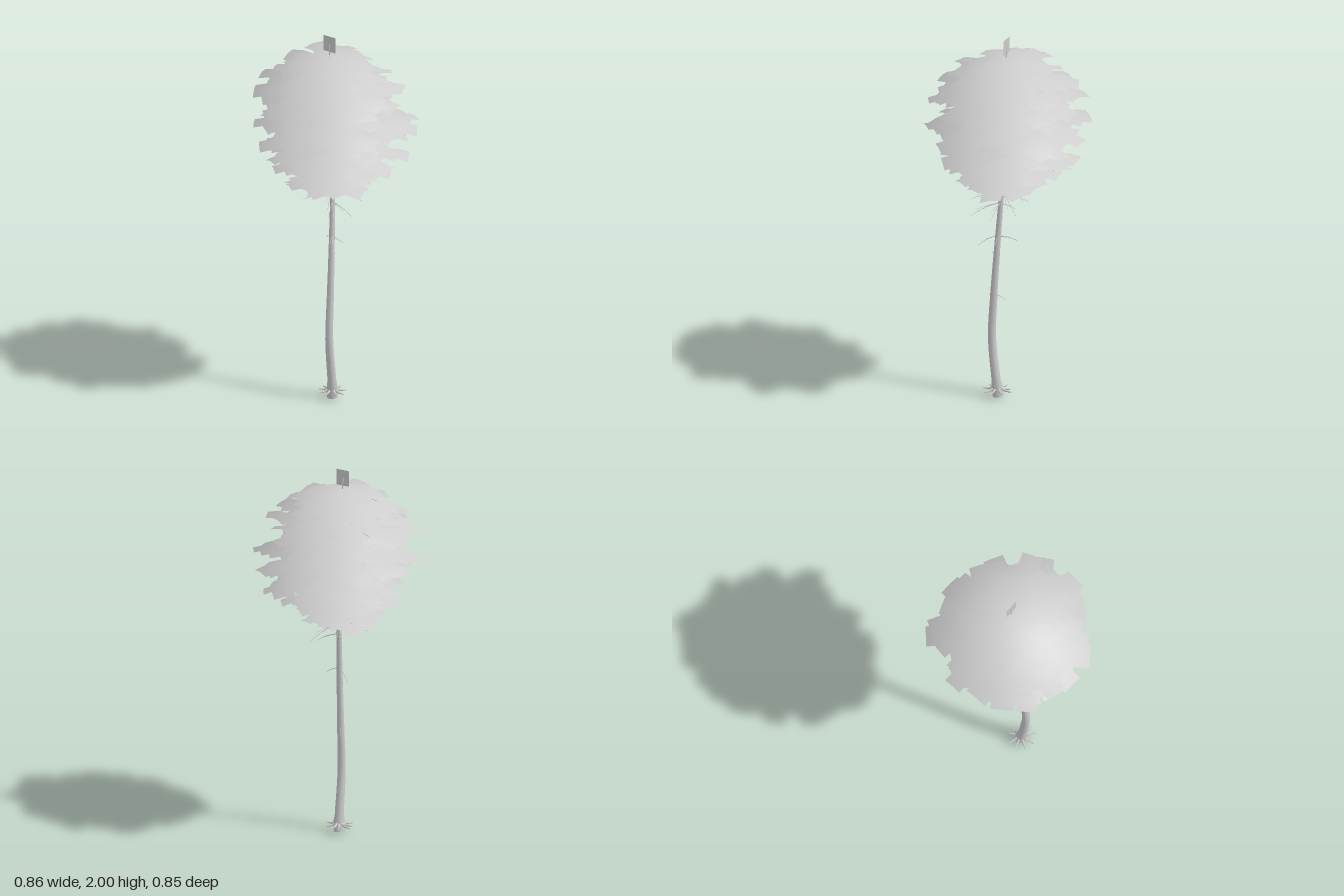
import * as THREE from 'three';
import { mergeGeometries } from 'three/addons/utils/BufferGeometryUtils.js';

const V = (x, y, z) => new THREE.Vector3(x, y, z);

// small seeded random generator
let seed = 7;
const rnd = () => (seed = (seed * 16807) % 2147483647) / 2147483647;
const jitter = (a) => (rnd() * 2 - 1) * a;

// tube along a smooth curve whose radius follows radiusAt(t)
function taperedTube(curve, steps, sides, radiusAt) {
  const geo = new THREE.TubeGeometry(curve, steps, 1, sides, false);
  const pos = geo.attributes.position;
  const v = new THREE.Vector3();
  for (let i = 0; i <= steps; i++) {
    const c = curve.getPointAt(i / steps);
    for (let j = 0; j <= sides; j++) {
      const k = i * (sides + 1) + j;
      v.fromBufferAttribute(pos, k).sub(c).multiplyScalar(radiusAt(i / steps)).add(c);
      pos.setXYZ(k, v.x, v.y, v.z);
    }
  }
  return geo;
}

const trunkPoints = [
  V(-0.033, 0, 0.032), V(-0.04, 0.08, 0.038), V(-0.064, 0.33, 0.042), V(-0.055, 0.55, 0.04),
  V(-0.04, 0.8, 0.034), V(-0.016, 1.2, 0.018), V(-0.008, 1.5, 0.004), V(-0.01, 1.96, -0.012),
];
const trunkCurve = new THREE.CatmullRomCurve3(trunkPoints);
function trunkAt(y) {
  const i = trunkPoints.findIndex((p) => p.y >= y);
  const a = trunkPoints[i - 1], b = trunkPoints[i];
  return a.clone().lerp(b, (y - a.y) / (b.y - a.y));
}

// gently drooping twig from the trunk
function twig(y, angle, length, drop, radius) {
  const p = trunkAt(y);
  const at = (f, d) => V(p.x + Math.cos(angle) * length * f, y - d, p.z + Math.sin(angle) * length * f);
  const curve = new THREE.QuadraticBezierCurve3(at(0, 0), at(0.55, drop * 0.25), at(1, drop));
  return taperedTube(curve, 5, 4, (t) => radius * (1 - 0.75 * t));
}

// foliage tiers: height, then reach to -x, +x, -z, +z
const tiers = [
  [1.20, 0.23, 0.20, 0.19, 0.20], [1.285, 0.31, 0.27, 0.26, 0.30], [1.355, 0.33, 0.37, 0.35, 0.37],
  [1.415, 0.34, 0.31, 0.27, 0.33], [1.47, 0.38, 0.38, 0.34, 0.35], [1.53, 0.38, 0.42, 0.44, 0.44],
  [1.605, 0.37, 0.32, 0.35, 0.32], [1.675, 0.40, 0.39, 0.41, 0.38], [1.745, 0.37, 0.39, 0.37, 0.38],
  [1.81, 0.33, 0.26, 0.30, 0.31], [1.873, 0.23, 0.21, 0.25, 0.21],
];

// one slightly folded square leaf card, lying nearly flat and pointing outwards
function leafCard(x, y, z, angle, size, slope) {
  const geo = new THREE.PlaneGeometry(size, size, 2, 2).rotateX(-Math.PI / 2);
  const pos = geo.attributes.position;
  for (let i = 0; i < pos.count; i++) {
    const u = pos.getX(i) / size, w = pos.getZ(i) / size;
    pos.setY(i, -size * 0.3 * (u * u + w * w) + 0.006);
  }
  return geo.rotateX(jitter(0.22)).rotateZ(slope + jitter(0.14)).rotateY(-angle).translate(x, y, z);
}

function buildTier([y, xn, xp, zn, zp], index) {
  const leaves = [], twigs = [];
  const p = trunkAt(y);
  const count = 9;
  for (let b = 0; b < count; b++) {
    const a = (b / count) * Math.PI * 2 + index * 0.37 + jitter(0.12);
    const c = Math.cos(a), s = Math.sin(a);
    const reach = (c * c * (c < 0 ? xn : xp) + s * s * (s < 0 ? zn : zp)) * (1.0 + jitter(0.08));
    const size = 0.112 + jitter(0.01);
    const last = reach - size * 0.52;
    const rows = Math.max(3, Math.round(last / 0.045));
    const lift = jitter(0.012);
    for (let r = 0; r < rows; r++) {
      const d = 0.03 + (last - 0.03) * (r / (rows - 1));
      // paired cards fan out on both sides of the branch, one closes its tip
      const sides = r === rows - 1 ? [0] : [-1, 1];
      for (const side of sides) {
        const off = side * (0.012 + 0.07 * d);
        const blend = 1 - d / reach;
        leaves.push(leafCard(p.x * blend + c * d - s * off, y + lift + jitter(0.014) - 0.006 * (d / reach),
          p.z * blend + s * d + c * off, a + side * 0.4 + jitter(0.35), size, -0.05));
      }
    }
    twigs.push(twig(y - 0.012, a, last, 0.008, 0.004));
  }
  const geo = mergeGeometries(leaves);
  // soft shading: normals lean outwards from straight up
  const pos = geo.attributes.position, v = new THREE.Vector3();
  for (let i = 0; i < pos.count; i++) {
    v.set(pos.getX(i) * 2, 1, pos.getZ(i) * 2).normalize();
    geo.attributes.normal.setXYZ(i, v.x, v.y, v.z);
  }
  return { leaves: geo, twigs: mergeGeometries(twigs) };
}

export function createModel() {
  seed = 7;
  const group = new THREE.Group();
  const grey = new THREE.MeshStandardMaterial({ color: 0xcccccc, side: THREE.DoubleSide });
  grey.name = 'pale grey';
  const add = (geo, name) => {
    const mesh = new THREE.Mesh(geo, grey);
    mesh.name = name;
    group.add(mesh);
  };

  // trunk, with a slight swelling above the foot
  add(taperedTube(trunkCurve, 64, 12, (t) =>
    0.0235 * (1 - 0.88 * t ** 1.2) + 0.004 * Math.exp(-t * 40) + 0.007 * Math.exp(-(((t - 0.022) / 0.012) ** 2))), 'trunk');
  add(new THREE.CircleGeometry(0.028, 12).rotateX(Math.PI / 2).translate(-0.033, 0, 0.032), 'trunkFoot');

  // spreading root spikes
  const roots = [];
  for (let i = 0; i < 9; i++) {
    const a = (i / 9) * Math.PI * 2 + jitter(0.15);
    const l = 0.076 + jitter(0.008);
    const at = (f, y) => V(-0.036 + Math.cos(a) * l * f, y, 0.035 + Math.sin(a) * l * f);
    const curve = new THREE.CatmullRomCurve3([at(0.2, 0.052), at(0.5, 0.038), at(1, 0.034)]);
    roots.push(taperedTube(curve, 6, 5, (t) => 0.009 * (1 - 0.75 * t)));
  }
  add(mergeGeometries(roots), 'roots');

  // bare twigs below the crown: height, angle, length, drop
  const bare = [
    [1.15, 0.5, 0.16, 0.08], [1.15, 2.5, 0.16, 0.04], [1.14, 3.9, 0.15, 0.04], [1.14, 5.5, 0.14, 0.06],
    [1.09, 2.3, 0.16, 0.06], [1.08, 5.4, 0.08, 0.04], [1.09, 1.4, 0.13, 0.06],
    [0.905, 2.3, 0.11, 0.05], [0.9, 5.2, 0.11, 0.05], [0.9, 1.2, 0.07, 0.03],
    [0.8, 3.2, 0.03, 0], [0.8, 0.2, 0.03, 0], [0.57, 5.6, 0.065, 0.04], [0.57, 3, 0.03, 0],
  ];
  const bareGeos = [];
  for (const [y, a, l, drop] of bare) {
    bareGeos.push(twig(y, a, l, drop, 0.003));
    if (l > 0.09) bareGeos.push(twig(y - 0.004, a + 0.2, l * 0.8, drop * 0.6, 0.002));
  }
  add(mergeGeometries(bareGeos), 'bareTwigs');

  // crown tiers
  tiers.forEach((tier, i) => {
    const { leaves, twigs } = buildTier(tier, i);
    add(leaves, 'foliageTier' + (i + 1));
    add(twigs, 'branchTier' + (i + 1));
  });

  // upright leaf card on the tip
  add(new THREE.PlaneGeometry(0.075, 0.085).rotateY(Math.PI / 2 + 0.16).translate(-0.01, 1.9575, -0.012), 'topLeaf');
  return group;
}
